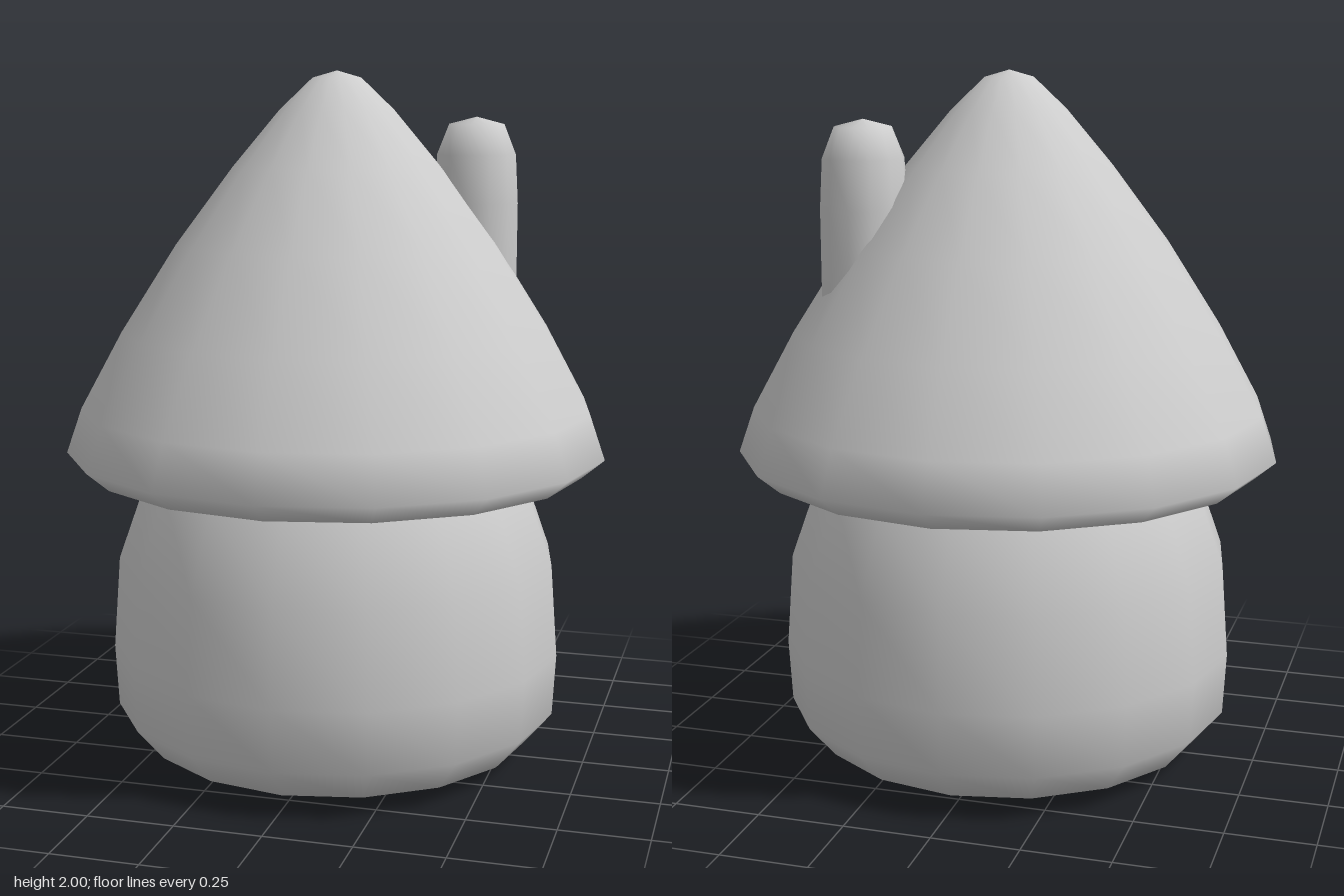
import * as THREE from 'three';

// Smooth solid of revolution; profile runs from the bottom centre to the top centre
function turned(name, profile, sides, material) {
  const points = profile.map(([r, y]) => new THREE.Vector2(r, y));
  const mesh = new THREE.Mesh(new THREE.LatheGeometry(points, sides), material);
  mesh.name = name;
  return mesh;
}

export function createModel() {
  const group = new THREE.Group();
  group.name = 'mushroomHouse';
  const clay = new THREE.MeshStandardMaterial({ color: 0xcccccc });
  clay.name = 'light grey clay';

  // Rounded, slightly bulging house body
  group.add(turned('body', [
    [0, 0], [0.4, 0.012], [0.575, 0.045], [0.655, 0.14], [0.665, 0.32],
    [0.645, 0.59], [0.56, 0.83], [0.5, 0.87], [0, 0.88],
  ], 16, clay));

  // Pointed cap roof with a turned-under rim
  group.add(turned('roof', [
    [0, 0.838], [0.5, 0.84], [0.725, 0.855], [0.79, 0.91], [0.745, 1.04],
    [0.625, 1.26], [0.465, 1.51], [0.3, 1.73], [0.165, 1.89], [0.07, 1.98], [0, 2],
  ], 16, clay));

  // Round-topped chimney rising out of the back left of the roof
  const chimney = turned('chimney', [
    [0, 1.2], [0.11, 1.22], [0.125, 1.36], [0.125, 1.62],
    [0.117, 1.76], [0.082, 1.847], [0, 1.868],
  ], 12, clay);
  chimney.position.set(0.366, 0, -0.206);
  group.add(chimney);

  return group;
}
